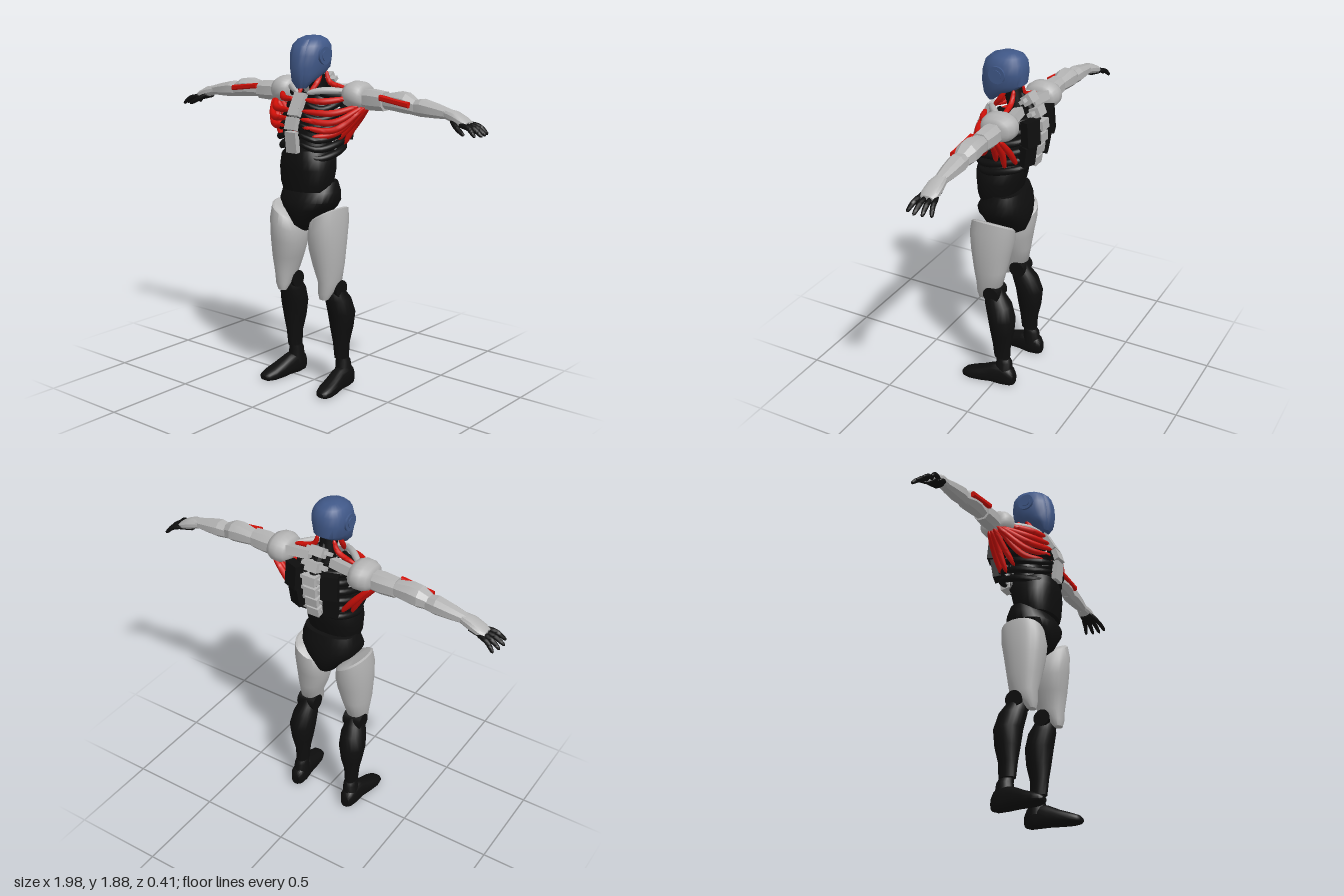
import * as THREE from 'three';
import { toCreasedNormals } from 'three/addons/utils/BufferGeometryUtils.js';

const paint = (name, color) => Object.assign(new THREE.MeshStandardMaterial({ color }), { name });

// Closed skin over rounded cross-sections [along, c1, c2, r1, r2], listed in rising order.
// Axis y: c1 = x, c2 = z.  Axis x: c1 = z, c2 = y.  Axis z: c1 = y, c2 = x.
function loft(axis, rows, sides = 20, power = 2, rule = null) {
  const order = { y: ['y', 'x', 'z'], x: ['x', 'z', 'y'], z: ['z', 'y', 'x'] }[axis];
  const pos = [], index = [], v = new THREE.Vector3();
  const put = (...p) => {
    order.forEach((k, i) => { v[k] = p[i]; });
    if (rule) rule(v);
    pos.push(v.x, v.y, v.z);
  };
  const bend = t => Math.sign(t) * Math.abs(t) ** (2 / power);
  for (const [a, c1, c2, r1, r2] of rows)
    for (let j = 0; j < sides; j++) {
      const t = ((j + 0.5) / sides) * Math.PI * 2;
      put(a, c1 + r1 * bend(Math.cos(t)), c2 + r2 * bend(Math.sin(t)));
    }
  const last = rows.length - 1, base = rows.length * sides;
  put(...rows[0].slice(0, 3));
  put(...rows[last].slice(0, 3));
  for (let j = 0; j < sides; j++) {
    const k = (j + 1) % sides;
    for (let i = 0; i < last; i++) {
      const a = i * sides + j, b = i * sides + k;
      index.push(a, a + sides, b, b, a + sides, b + sides);
    }
    index.push(base, j, k, base + 1, last * sides + k, last * sides + j);
  }
  const g = new THREE.BufferGeometry();
  g.setAttribute('position', new THREE.Float32BufferAttribute(pos, 3));
  g.setIndex(index);
  return g;
}

// Tube along points, narrowing to a closed tip at both ends
function strand(points, r, blunt = 0.3) {
  const curve = new THREE.CatmullRomCurve3(points.map(p => new THREE.Vector3(...p)));
  const n = 18, sides = 10, g = new THREE.TubeGeometry(curve, n, r, sides), p = g.attributes.position;
  const v = new THREE.Vector3();
  for (let i = 0; i <= n; i++) {
    const c = curve.getPointAt(i / n), f = Math.sin(Math.PI * i / n) ** blunt;
    for (let j = 0; j <= sides; j++) {
      const k = i * (sides + 1) + j;
      v.fromBufferAttribute(p, k).sub(c).multiplyScalar(i % n ? f : 0).add(c);
      p.setXYZ(k, v.x, v.y, v.z);
    }
  }
  return g;
}

const box = (w, h, d, x, y, z, tilt = 0, turn = 0) =>
  new THREE.BoxGeometry(w, h, d).rotateX(tilt).rotateY(turn).translate(x, y, z);
const disc = (r, w, x, y, z) => new THREE.CylinderGeometry(r, r, w, 24).rotateZ(Math.PI / 2).translate(x, y, z);

function flipX(geo) {
  const g = geo.index ? geo.toNonIndexed() : geo.clone(), p = g.attributes.position;
  for (let i = 0; i < p.count; i += 3) {
    const [a, b, c] = [0, 2, 1].map(k => [-p.getX(i + k), p.getY(i + k), p.getZ(i + k)]);
    [a, b, c].forEach((q, k) => p.setXYZ(i + k, ...q));
  }
  return g;
}

export function createModel() {
  const model = new THREE.Group();
  const black = paint('black rubber', 0x0e0e0e), grey = paint('light grey shell', 0xb4b4b4);
  const red = paint('red muscle', 0xd01008), blue = paint('blue helmet', 0x405888);

  const add = (name, mat, g, crease = 0.7) => {
    g.deleteAttribute('uv');
    const m = new THREE.Mesh(toCreasedNormals(g, crease), mat);
    m.name = name;
    model.add(m);
  };
  const pair = (name, mat, g, crease) => {
    add(name + 'Right', mat, flipX(g), crease);
    add(name + 'Left', mat, g, crease);
  };

  // Helmet with raised face panel and ear discs
  const head = [[1.615, 0, 0.105, 0.03, 0.015], [1.65, 0, 0.093, 0.06, 0.046], [1.69, 0, 0.05, 0.078, 0.094],
    [1.72, 0, 0.032, 0.088, 0.115], [1.78, 0, 0.025, 0.095, 0.115], [1.83, 0, 0.02, 0.09, 0.104],
    [1.86, 0, 0.013, 0.07, 0.078], [1.877, 0, 0.01, 0.035, 0.04]];
  add('helmet', blue, loft('y', head, 24, 2.3));
  add('facePanel', blue, loft('y', head.slice(0, 7).map(([y, x, z, a, b]) => [y, x, z + 0.007, a * 0.62, b]), 20, 3.5));
  pair('earDisc', blue, disc(0.045, 0.02, 0.09, 1.78, 0.03));
  pair('earHub', blue, disc(0.027, 0.03, 0.09, 1.78, 0.03));

  // Neck
  add('neck', black, loft('y', [[1.5, 0, -0.05, 0.05, 0.05], [1.6, 0, -0.03, 0.045, 0.045], [1.73, 0, 0, 0.045, 0.05]]));
  pair('neckMuscle', red, strand([[0.045, 1.71, 0.0], [0.05, 1.65, 0.03], [0.03, 1.58, 0.085]], 0.014));
  pair('neckSideMuscle', red, strand([[0.045, 1.7, -0.04], [0.07, 1.64, -0.04], [0.18, 1.61, -0.05]], 0.014));

  // Pelvis and abdomen
  add('pelvis', black, loft('y', [[0.865, 0, 0.03, 0.025, 0.06], [0.9, 0, 0.03, 0.055, 0.115], [0.95, 0, 0.03, 0.09, 0.135],
    [0.99, 0, 0.03, 0.135, 0.142], [1.03, 0, 0.03, 0.165, 0.138], [1.08, 0, 0.02, 0.163, 0.12],
    [1.13, 0, 0.01, 0.145, 0.09]], 28, 2.3));
  add('abdomen', black, loft('y', [[1.085, 0, 0.06, 0.13, 0.1], [1.12, 0, 0.057, 0.145, 0.108], [1.2, 0, 0.05, 0.152, 0.122],
    [1.25, 0, 0.045, 0.145, 0.127], [1.3, 0, 0.04, 0.12, 0.12]], 28, 2.4));
  add('chestCore', black, loft('y', [[1.27, 0, 0.02, 0.11, 0.1], [1.38, 0, 0, 0.1, 0.08], [1.5, 0, -0.02, 0.09, 0.07],
    [1.57, 0, -0.04, 0.06, 0.05]]));

  // Rib hoops
  for (let i = 0; i < 6; i++) {
    const y = 1.28 + i * 0.05, w = 0.165 - Math.abs(i - 2) * 0.008, f = [0.15, 0.16, 0.17, 0.165, 0.14, 0.11][i];
    pair('rib' + (i + 1), black, strand([[0.02, y + 0.04, -0.13], [w * 0.75, y + 0.03, -0.11], [w, y, 0.01],
      [w * 0.75, y - 0.02, f - 0.04], [0.02, y + 0.01, f]], 0.019));
  }

  // Sternum plates
  [[1.345, 0.175, 0.11, -0.12], [1.44, 0.178, 0.065, 0.3], [1.495, 0.155, 0.04, 0.5], [1.55, 0.125, 0.085, 0.5]]
    .forEach(([y, z, h, t], i) => add('sternum' + (i + 1), grey, box(0.07, h, 0.03, 0, y, z, -t)));

  // Spine blocks and back plates
  [[1.33, -0.135, -0.15], [1.395, -0.15, -0.12], [1.46, -0.165, 0], [1.525, -0.17, 0.1], [1.59, -0.15, 0.4], [1.65, -0.105, 0.6]]
    .forEach(([y, z, t], i) => {
      add('spineBlock' + (i + 1), grey, box(0.07, 0.05, 0.055, 0, y, z, t));
      pair('spineWing' + (i + 1), grey, box(0.04, 0.02, 0.03, 0.05, y, z + 0.01, t));
    });
  add('spineCord', black, strand([[0, 1.22, -0.06], [0, 1.4, -0.135], [0, 1.53, -0.15], [0, 1.68, -0.05]], 0.025));
  pair('upperBackPlate', black, box(0.085, 0.13, 0.05, 0.105, 1.515, -0.165, 0.08, -0.35));
  pair('lowerBackPlate', black, box(0.075, 0.11, 0.05, 0.1, 1.39, -0.145, -0.15, -0.35));

  // Collarbones and shoulder blades
  pair('collarbone', grey, strand([[0.03, 1.59, 0.1], [0.1, 1.605, 0.05], [0.2, 1.6, -0.04]], 0.018));
  pair('shoulderBrace', grey, box(0.13, 0.045, 0.05, 0.13, 1.6, -0.09, 0.3, 0.15));
  pair('shoulderBar', black, strand([[0.05, 1.59, 0.04], [0.12, 1.58, -0.01], [0.21, 1.57, -0.05]], 0.026));

  // Chest and flank muscles fanning out of the armpit
  [[[0.22, 1.57, 0], [0.13, 1.555, 0.09], [0.04, 1.56, 0.125]],
    [[0.28, 1.535, -0.02], [0.19, 1.5, 0.085], [0.04, 1.505, 0.15]],
    [[0.3, 1.53, -0.02], [0.2, 1.455, 0.095], [0.04, 1.465, 0.165]],
    [[0.31, 1.53, -0.03], [0.2, 1.415, 0.09], [0.05, 1.425, 0.165]],
    [[0.3, 1.525, -0.03], [0.19, 1.395, 0.06], [0.1, 1.375, 0.15]],
    [[0.31, 1.53, -0.05], [0.23, 1.44, -0.03], [0.16, 1.35, 0.0]],
    [[0.3, 1.53, -0.07], [0.22, 1.43, -0.065], [0.16, 1.32, -0.05]],
    [[0.29, 1.53, -0.09], [0.21, 1.44, -0.1], [0.13, 1.34, -0.1]]]
    .forEach((p, i) => pair('chestMuscle' + (i + 1), red, strand(p, 0.017)));

  // Arms
  pair('shoulderCap', grey, loft('x', [[0.178, -0.065, 1.582, 0.05, 0.04], [0.19, -0.065, 1.582, 0.08, 0.06],
    [0.22, -0.065, 1.583, 0.095, 0.072], [0.26, -0.065, 1.582, 0.094, 0.07], [0.288, -0.063, 1.58, 0.078, 0.058],
    [0.298, -0.06, 1.575, 0.05, 0.04]], 24, 2.2), 1);
  pair('upperArm', grey, loft('x', [[0.27, -0.06, 1.567, 0.045, 0.05], [0.34, -0.058, 1.567, 0.054, 0.055],
    [0.42, -0.055, 1.565, 0.048, 0.05]], 8, 2.4), 0.3);
  pair('elbowShell', grey, loft('x', [[0.39, -0.06, 1.565, 0.035, 0.036], [0.5, -0.06, 1.572, 0.056, 0.052],
    [0.55, -0.06, 1.567, 0.056, 0.052], [0.61, -0.055, 1.55, 0.035, 0.036]], 8, 2.4), 0.3);
  pair('armMuscle', red, loft('x', [[0.415, -0.01, 1.588, 0.014, 0.015], [0.59, -0.008, 1.565, 0.014, 0.015]], 8, 3));
  pair('forearm', grey, loft('x', [[0.57, -0.06, 1.55, 0.034, 0.036], [0.64, -0.06, 1.552, 0.047, 0.045],
    [0.72, -0.06, 1.543, 0.04, 0.036], [0.8, -0.06, 1.533, 0.028, 0.024]], 8, 2.4), 0.3);
  pair('hand', grey, loft('x', [[0.775, -0.06, 1.535, 0.03, 0.026], [0.83, -0.06, 1.522, 0.043, 0.03],
    [0.88, -0.06, 1.503, 0.044, 0.024], [0.905, -0.06, 1.493, 0.036, 0.015]], 12, 2.4), 0.5);
  for (let i = 0; i < 4; i++) {
    const s = i - 1.5, reach = 0.995 - Math.abs(i - 1.7) * 0.014;
    pair('finger' + (i + 1), black, strand([[0.87, 1.497, -0.06 + s * 0.024], [0.93, 1.483, -0.06 + s * 0.032],
      [reach, 1.445, -0.06 + s * 0.042]], 0.0125));
  }
  pair('thumb', black, strand([[0.82, 1.51, -0.03], [0.86, 1.485, -0.01], [0.92, 1.45, 0.01]], 0.013));
  pair('palm', black, loft('x', [[0.82, -0.06, 1.498, 0.03, 0.012], [0.9, -0.06, 1.482, 0.036, 0.014]], 12, 2.4));

  // Thighs, with the top edge sloping along the hip line
  const hipSlope = v => {
    v.y += 0.6 * (v.x - 0.13) * THREE.MathUtils.smoothstep(v.y, 0.7, 0.96);
  };
  pair('thigh', grey, loft('y', [[0.515, 0.145, 0.095, 0.025, 0.02], [0.55, 0.147, 0.083, 0.04, 0.04],
    [0.61, 0.15, 0.05, 0.053, 0.075], [0.7, 0.14, 0.05, 0.076, 0.092], [0.8, 0.132, 0.048, 0.09, 0.11],
    [0.89, 0.13, 0.042, 0.092, 0.124], [0.955, 0.13, 0.035, 0.082, 0.12], [0.965, 0.13, 0.035, 0.07, 0.108]], 24, 2.2, hipSlope));

  // Knees and shins
  pair('knee', black, disc(0.046, 0.106, 0.15, 0.565, 0.018));
  pair('shin', black, loft('y', [[0.165, 0.165, -0.033, 0.034, 0.046], [0.25, 0.165, -0.03, 0.04, 0.053],
    [0.33, 0.165, -0.033, 0.058, 0.068], [0.42, 0.165, -0.03, 0.073, 0.077], [0.5, 0.158, -0.008, 0.066, 0.076],
    [0.55, 0.152, 0.012, 0.05, 0.058], [0.59, 0.15, 0.02, 0.04, 0.042]], 20));

  // Feet with flat soles
  const sole = v => { v.y = Math.max(v.y, 0); };
  pair('ankle', black, loft('y', [[0.06, 0.17, -0.045, 0.045, 0.055], [0.14, 0.166, -0.045, 0.038, 0.045],
    [0.16, 0.165, -0.038, 0.032, 0.04]], 16));
  pair('foot', black, loft('z', [[-0.11, 0.04, 0.17, 0.035, 0.025], [-0.09, 0.05, 0.17, 0.055, 0.04],
    [-0.04, 0.055, 0.172, 0.068, 0.045], [0.02, 0.05, 0.178, 0.058, 0.044], [0.08, 0.035, 0.187, 0.045, 0.047],
    [0.14, 0.025, 0.195, 0.033, 0.048], [0.18, 0.02, 0.2, 0.022, 0.036], [0.193, 0.018, 0.202, 0.012, 0.02]], 20, 2.6, sole));

  return model;
}
